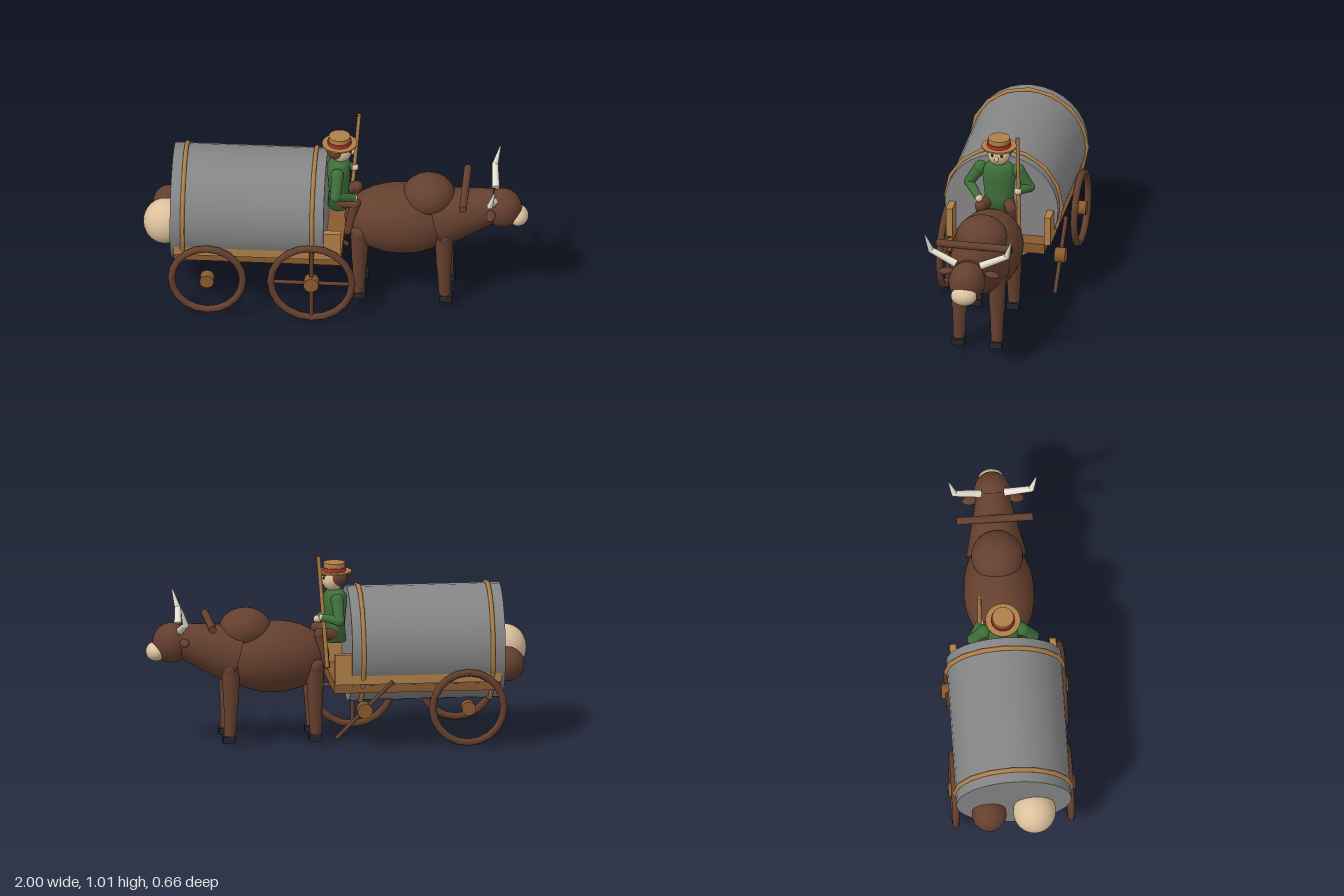
import * as THREE from 'three';

const mat = (name, color) => {
  const m = new THREE.MeshStandardMaterial({ color });
  m.name = name;
  return m;
};

export function createModel() {
  const grey = mat('barrel grey', 0x858585);
  const brown = mat('hide brown', 0x643f2e);
  const wood = mat('light wood', 0xb08048);
  const darkWood = mat('dark wood', 0x8a5a2e);
  const green = mat('coat green', 0x3f6e3a);
  const skin = mat('tan', 0xdcc19c);
  const horn = mat('horn ivory', 0xe6dfcf);
  const black = mat('hoof black', 0x26262c);
  const red = mat('band red', 0xb5332c);

  const model = new THREE.Group();
  const group = (name) => {
    const g = new THREE.Group();
    g.name = name;
    model.add(g);
    return g;
  };
  const add = (parent, name, geo, material, x = 0, y = 0, z = 0) => {
    const m = new THREE.Mesh(geo, material);
    m.name = name;
    m.position.set(x, y, z);
    parent.add(m);
    return m;
  };
  const box = (p, name, material, w, h, d, x, y, z) =>
    add(p, name, new THREE.BoxGeometry(w, h, d), material, x, y, z);
  const ball = (p, name, material, rx, ry, rz, x, y, z) => {
    const m = add(p, name, new THREE.SphereGeometry(1, 28, 18), material, x, y, z);
    m.scale.set(rx, ry, rz);
    return m;
  };
  // tapered round bar between two points
  const rod = (p, name, material, a, b, ra, rb = ra, sides = 16) => {
    const A = new THREE.Vector3(...a), B = new THREE.Vector3(...b);
    const dir = B.clone().sub(A);
    const m = add(p, name, new THREE.CylinderGeometry(rb, ra, dir.length(), sides), material);
    m.position.copy(A).add(B).multiplyScalar(0.5);
    m.quaternion.setFromUnitVectors(new THREE.Vector3(0, 1, 0), dir.normalize());
    return m;
  };

  // barrel with two hoops
  const barrel = group('barrel');
  rod(barrel, 'drum', grey, [-0.85, 0.53, 0], [-0.05, 0.53, 0], 0.3, 0.3, 32);
  for (const x of [-0.785, -0.11]) {
    const hoop = add(barrel, 'hoop', new THREE.TorusGeometry(0.304, 0.013, 6, 16), wood, x, 0.53, 0);
    hoop.rotation.y = Math.PI / 2;
  }

  // cart frame
  const cart = group('cart');
  box(cart, 'bed', darkWood, 0.87, 0.055, 0.49, -0.395, 0.345, 0);
  for (const s of [-1, 1]) {
    box(cart, 'sideRail', wood, 0.87, 0.06, 0.035, -0.395, 0.4, s * 0.26);
    box(cart, 'frontPost', wood, 0.09, 0.16, 0.035, -0.005, 0.45, s * 0.26);
  }

  // wheels: the front right one has lost its rim
  const rim = (p, x, r, s) =>
    add(p, 'rim', new THREE.TorusGeometry(r, 0.019, 8, 20), brown, x, 0.24, s * 0.3);
  const spoke = (p, angle, s) => {
    const c = Math.cos(angle) * 0.21, d = Math.sin(angle) * 0.21;
    rod(p, 'spoke', brown, [-0.112 - c, 0.24 - d, s * 0.3], [-0.112 + c, 0.24 + d, s * 0.3], 0.011, 0.011, 8);
  };
  for (const s of [-1, 1]) {
    const rear = group('rearWheel'), front = group('frontWheel');
    rim(rear, -0.655, 0.186, s);
    rod(rear, 'hub', darkWood, [-0.655, 0.24, s * 0.273], [-0.655, 0.24, s * 0.33], 0.037);
    rod(front, 'hub', darkWood, [-0.112, 0.24, s * 0.273], [-0.112, 0.24, s * 0.33], 0.04);
    if (s > 0) {
      rim(front, -0.112, 0.212, s);
      spoke(front, 0, s);
      spoke(front, Math.PI / 2, s);
    } else {
      spoke(front, -Math.PI / 4, s);
    }
  }

  // round loads on the back
  const load = group('rearLoad');
  ball(load, 'paleSack', skin, 0.115, 0.122, 0.112, -0.885, 0.465, 0.105);
  ball(load, 'brownSack', brown, 0.09, 0.09, 0.09, -0.875, 0.43, -0.13);

  // ox body, neck and head
  const ox = group('ox');
  ball(ox, 'body', brown, 0.295, 0.188, 0.185, 0.335, 0.47, 0);
  ball(ox, 'hump', brown, 0.137, 0.11, 0.135, 0.48, 0.62, 0);
  rod(ox, 'neck', brown, [0.53, 0.485, 0], [0.84, 0.575, 0], 0.16, 0.085, 24);
  ball(ox, 'head', brown, 0.1, 0.105, 0.095, 0.865, 0.555, 0);
  ball(ox, 'muzzle', skin, 0.053, 0.05, 0.068, 0.947, 0.51, 0);
  rod(ox, 'yoke', brown, [0.67, 0.662, -0.2], [0.67, 0.662, 0.2], 0.02);
  for (const s of [-1, 1]) {
    const ear = ball(ox, 'ear', brown, 0.025, 0.018, 0.04, 0.81, 0.577, s * 0.122);
    ear.rotation.x = s * 0.15;
    rod(ox, 'hornBase', horn, [0.825, 0.632, s * 0.065], [0.812, 0.692, s * 0.2], 0.02, 0.016);
    ball(ox, 'hornBend', horn, 0.016, 0.016, 0.016, 0.812, 0.692, s * 0.2);
    rod(ox, 'hornTip', horn, [0.812, 0.69, s * 0.2], [0.838, 0.787, s * 0.227], 0.016, 0.004);
    // legs
    for (const [name, x, foot] of [['foreleg', 0.565, 0.57], ['hindLeg', 0.125, 0.12]]) {
      ball(ox, name + 'Shoulder', brown, 0.046, 0.05, 0.05, x, 0.43, s * 0.1);
      rod(ox, name + 'Upper', brown, [x, 0.44, s * 0.1], [x, 0.245, s * 0.1], 0.048, 0.04);
      rod(ox, name + 'Lower', brown, [x, 0.25, s * 0.1], [foot, 0.07, s * 0.1], 0.038, 0.031);
      box(ox, name + 'Hoof', black, 0.065, 0.036, 0.064, foot + 0.007, 0.057, s * 0.1);
    }
  }

  // driver
  const driver = group('driver');
  const coat = [[0, 0.55], [0.06, 0.55], [0.052, 0.63], [0.06, 0.73], [0.06, 0.79], [0.042, 0.815], [0, 0.83]];
  const torso = add(driver, 'coat',
    new THREE.LatheGeometry(coat.map(([r, y]) => new THREE.Vector2(r, y)), 24), green, 0.012, 0, 0);
  torso.scale.z = 1.45;
  ball(driver, 'head', skin, 0.058, 0.06, 0.058, 0.022, 0.872, 0);
  ball(driver, 'hair', brown, 0.056, 0.05, 0.064, 0.002, 0.88, 0);
  ball(driver, 'nose', skin, 0.013, 0.016, 0.011, 0.082, 0.868, 0);
  for (const s of [-1, 1]) {
    ball(driver, 'eye', black, 0.005, 0.009, 0.007, 0.073, 0.885, s * 0.025);
    const brow = box(driver, 'brow', brown, 0.008, 0.006, 0.022, 0.07, 0.9, s * 0.027);
    brow.rotation.y = s * -0.45;
    // arms
    const shoulder = [0.01, 0.78, s * 0.1];
    const elbow = [0.005, 0.685, s * 0.16];
    const hand = s < 0 ? [0.087, 0.697, -0.115] : [0.095, 0.64, 0.09];
    ball(driver, 'shoulder', green, 0.035, 0.036, 0.035, ...shoulder);
    rod(driver, 'upperArm', green, shoulder, elbow, 0.033, 0.027);
    ball(driver, 'elbow', green, 0.028, 0.028, 0.028, ...elbow);
    rod(driver, 'forearm', green, elbow, hand, 0.026, 0.02);
    ball(driver, 'hand', skin, 0.02, 0.02, 0.02, ...hand);
    // legs
    rod(driver, 'thigh', brown, [0.015, 0.59, s * 0.05], [0.1, 0.6, s * 0.08], 0.034, 0.028);
    ball(driver, 'knee', brown, 0.03, 0.03, 0.03, 0.1, 0.6, s * 0.08);
    rod(driver, 'shin', brown, [0.1, 0.6, s * 0.08], [0.065, 0.42, s * 0.085], 0.027, 0.022);
  }

  // straw hat
  const hat = group('hat');
  rod(hat, 'brim', wood, [0.015, 0.911, 0], [0.015, 0.919, 0], 0.091, 0.091, 28);
  rod(hat, 'crown', wood, [0.015, 0.919, 0], [0.015, 0.963, 0], 0.056, 0.056, 28);
  rod(hat, 'band', red, [0.015, 0.919, 0], [0.015, 0.938, 0], 0.062, 0.062, 28);

  // goad held in the right hand
  rod(group('goad'), 'staff', wood, [0.063, 0.43, -0.117], [0.11, 1.022, -0.117], 0.011, 0.01, 10);

  return model;
}
